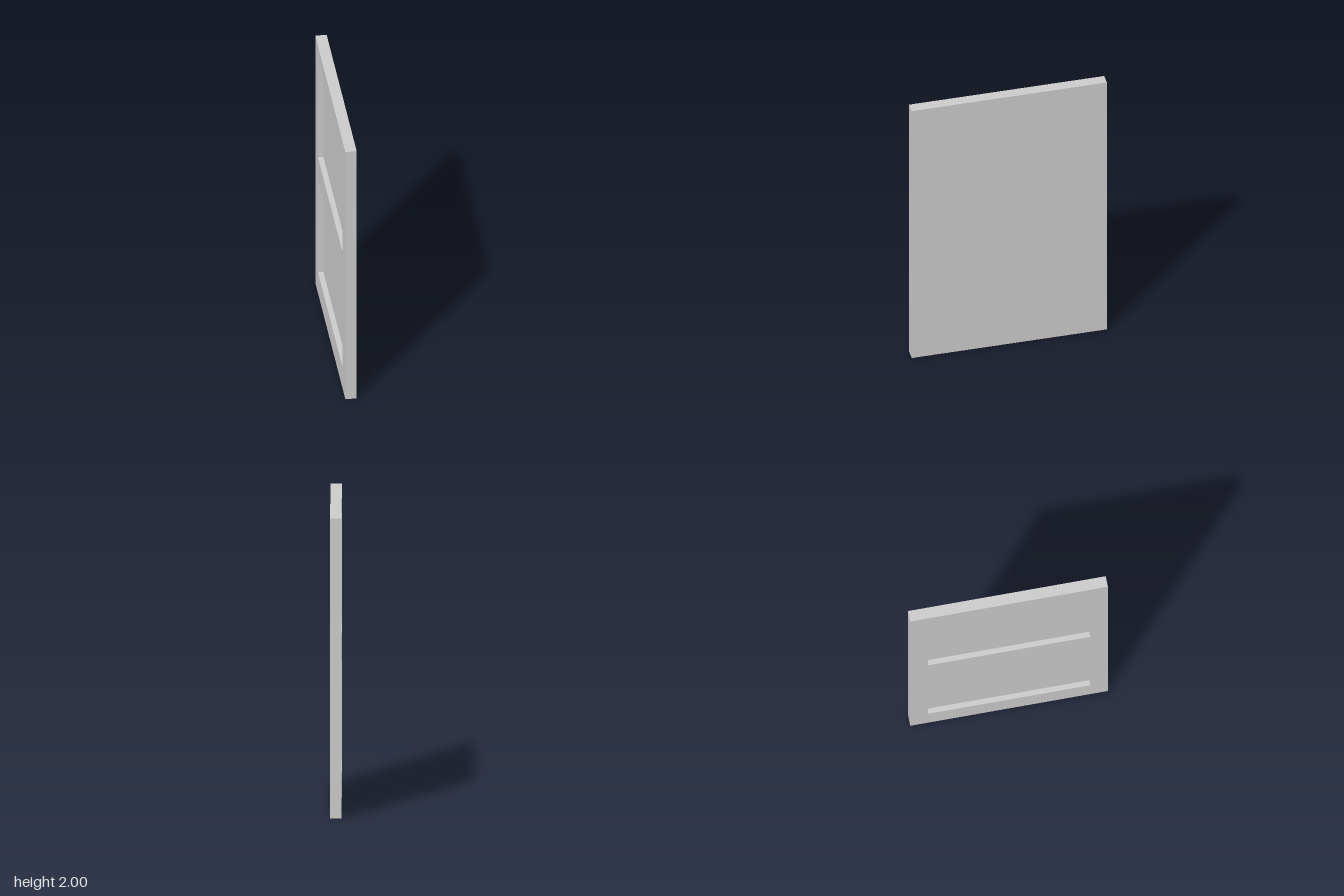
import * as THREE from 'three';

const THICK = 0.075, HEIGHT = 2, WIDTH = 1.32, DEPTH = 0.036;
const PANEL_WIDTH = 1.085;
const PANELS = [
  { name: 'lowerPanelRecess', bottom: 0.17, top: 0.92 },
  { name: 'upperPanelRecess', bottom: 1.1, top: 1.895 },
];

// Box without its -x face; inward turns the remaining faces to the inside
function openBox(w, h, d, inward) {
  const geo = new THREE.BoxGeometry(w, h, d);
  const index = Array.from(geo.index.array);
  index.splice(6, 6);
  if (inward) {
    index.reverse();
    const n = geo.attributes.normal;
    for (let i = 0; i < n.count; i++) n.setXYZ(i, -n.getX(i), -n.getY(i), -n.getZ(i));
  }
  geo.setIndex(index);
  geo.clearGroups();
  return geo;
}

function rectangle(path, w, bottom, top) {
  path.moveTo(-w / 2, bottom).lineTo(w / 2, bottom).lineTo(w / 2, top).lineTo(-w / 2, top).closePath();
  return path;
}

export function createModel() {
  const door = new THREE.Group();
  door.name = 'cabinetDoor';
  const material = new THREE.MeshStandardMaterial({ color: 0xcccccc });

  const add = (name, geometry, x, y) => {
    const mesh = new THREE.Mesh(geometry, material);
    mesh.name = name;
    mesh.position.set(x, y, 0);
    door.add(mesh);
  };

  // Plain side and the four narrow edges
  add('doorSlab', openBox(THICK, HEIGHT, WIDTH, false), 0, HEIGHT / 2);

  // Frame face with one opening per panel, turned to face -x
  const face = rectangle(new THREE.Shape(), WIDTH, 0, HEIGHT);
  for (const p of PANELS) face.holes.push(rectangle(new THREE.Path(), PANEL_WIDTH, p.bottom, p.top));
  add('frameFace', new THREE.ShapeGeometry(face).rotateY(-Math.PI / 2), -THICK / 2, 0);

  // Sunken panels: floor and four walls of each recess
  for (const p of PANELS) {
    add(p.name, openBox(DEPTH, p.top - p.bottom, PANEL_WIDTH, true),
      -THICK / 2 + DEPTH / 2, (p.top + p.bottom) / 2);
  }
  return door;
}
